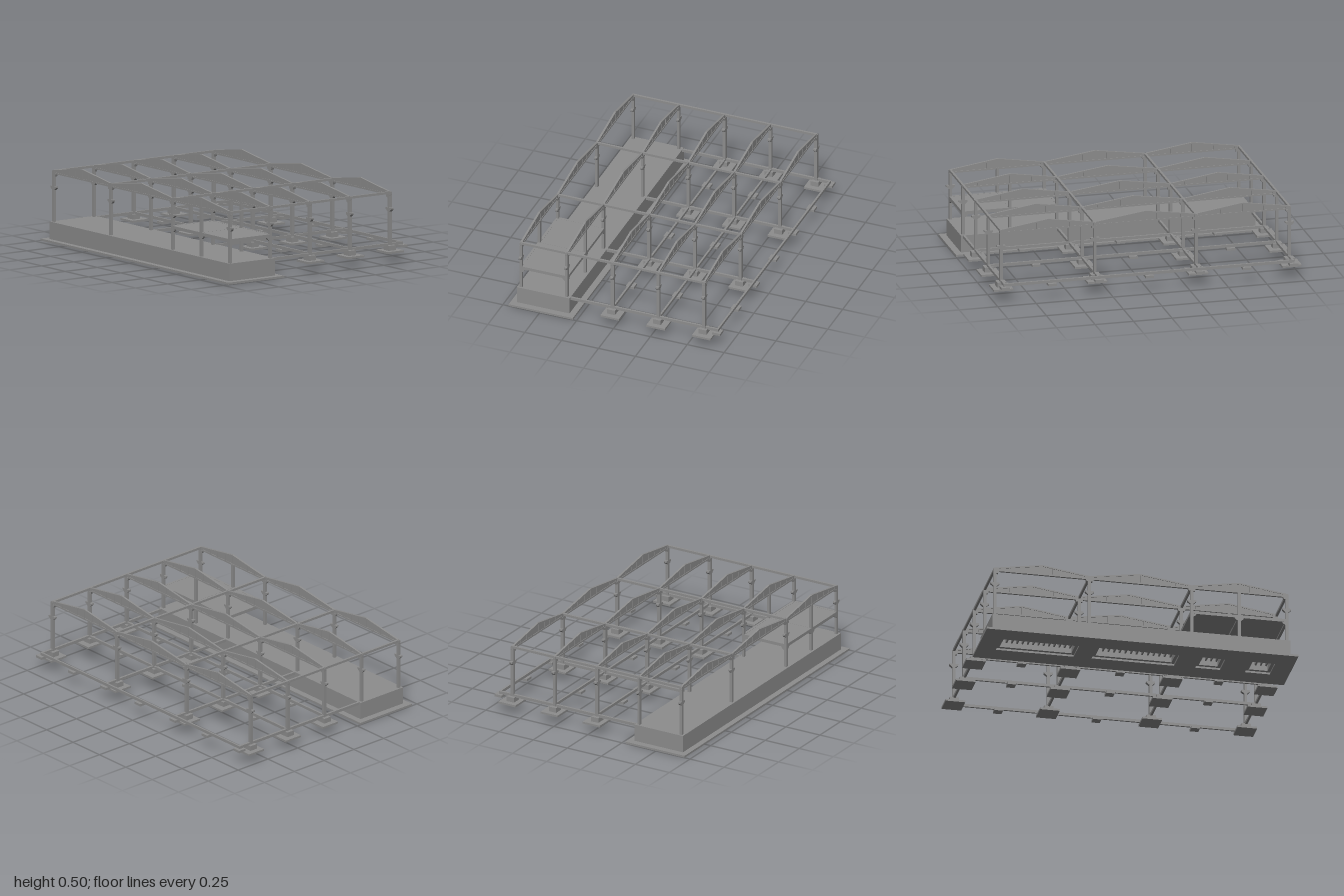
import * as THREE from 'three';

const mat = new THREE.MeshStandardMaterial({ color: 0x8d8d8d, flatShading: true, side: THREE.DoubleSide });
const colX = [-0.937, -0.33, 0.327, 0.937];
const rowZ = [0.65, 0.34, 0.03, -0.28, -0.59];
const midX = [-0.633, 0, 0.632];

function add(parent, name, geo, x = 0, y = 0, z = 0) {
  const m = new THREE.Mesh(geo, mat);
  m.name = name;
  m.position.set(x, y, z);
  parent.add(m);
  return m;
}

// box given by its limits
function box(parent, name, x0, x1, y0, y1, z0, z1) {
  return add(parent, name, new THREE.BoxGeometry(x1 - x0, y1 - y0, z1 - z0),
    (x0 + x1) / 2, (y0 + y1) / 2, (z0 + z1) / 2);
}

// box given by its centre in plan
const block = (parent, name, x, z, w, d, y0, y1) =>
  box(parent, name, x - w / 2, x + w / 2, y0, y1, z - d / 2, z + d / 2);

const polygon = (pts, Type = THREE.Shape) => new Type(pts.map(p => new THREE.Vector2(...p)));
const rect = (x0, x1, y0, y1, Type) => polygon([[x0, y0], [x1, y0], [x1, y1], [x0, y1]], Type);

// upright profile extruded about its own middle plane
function plate(shape, depth) {
  return new THREE.ExtrudeGeometry(shape, { depth, bevelEnabled: false }).translate(0, 0, -depth / 2);
}

// horizontal plate with rectangular pits
function pitted(parent, name, x, z0, z1, y0, y1, pits, shrink) {
  const s = rect(-x, x, -z1, -z0);
  for (const [c, w, d] of pits) {
    const a = w / 2 - shrink, b = d / 2 - shrink;
    s.holes.push(rect(c - a, c + a, -0.493 - b, -0.493 + b, THREE.Path));
  }
  const g = new THREE.ExtrudeGeometry(s, { depth: y1 - y0, bevelEnabled: false }).rotateX(-Math.PI / 2);
  add(parent, name, g, 0, y0, 0);
}

// pitched roof girder: flanges and stiffeners around a thin web
function girder(parent, x0, x1, z) {
  const g = new THREE.Group();
  g.name = 'roofGirder';
  const c = (x0 + x1) / 2, h = (x1 - x0) / 2 - 0.004;
  const outline = [[-h, 0.43], [h, 0.43], [h, 0.454], [0, 0.5], [-h, 0.454]];
  const top = x => 0.5 - 0.046 * Math.abs(x) / h;
  const frame = polygon(outline);
  const n = 4, step = (h - 0.02) / n;
  for (const side of [-1, 1]) {
    for (let i = 0; i < n; i++) {
      const a = side * (i * step + 0.003), b = side * ((i + 1) * step - 0.003);
      frame.holes.push(polygon([[a, 0.44], [b, 0.44], [b, top(b) - 0.009], [a, top(a) - 0.009]], THREE.Path));
    }
  }
  add(g, 'girderFlanges', plate(frame, 0.013));
  add(g, 'girderWeb', plate(polygon(outline.map(([x, y]) => [x * 0.99, y - (y > 0.44 ? 0.002 : -0.002)])), 0.006));
  g.position.set(c, 0, z);
  parent.add(g);
}

// triangular bracket under a beam; angle turns it about the column
function haunch(parent, x, y, z, angle) {
  const s = polygon([[0.008, y], [0.03, y], [0.025, y - 0.011], [0.008, y - 0.023]]);
  add(parent, 'haunch', plate(s, 0.015), x, 0, z).rotation.y = angle;
}

export function createModel() {
  const root = new THREE.Group();
  root.name = 'hallFrame';

  // raft and plinth with ribbed pits underneath: [centre x, width, depth]
  const base = new THREE.Group();
  base.name = 'base';
  root.add(base);
  const pits = [[0.8, 0.16, 0.16], [0.48, 0.16, 0.16], [0, 0.53, 0.16], [-0.63, 0.5, 0.16]];
  pitted(base, 'raft', 1, 0.275, 0.71, 0, 0.013, pits, 0);
  pitted(base, 'plinthBody', 0.957, 0.315, 0.672, 0.013, 0.09, pits, 0.02);
  box(base, 'plinthTop', -0.957, 0.957, 0.09, 0.124, 0.315, 0.672);
  for (const [c, w] of pits) {
    const n = Math.round((w - 0.06) / 0.035);
    for (let i = 0; i <= n; i++) {
      block(base, 'pitRib', c + (i / n - 0.5) * (w - 0.06), 0.493, 0.01, 0.12, 0.045, 0.09);
    }
  }

  // columns, their corbels and capitals, footings and girders row by row
  rowZ.forEach((z, r) => {
    const onPlinth = r < 2;
    const depth = onPlinth ? 0.017 : 0.021;
    colX.forEach((x, i) => {
      block(root, 'column', x, z, 0.019, depth, onPlinth ? 0.12 : 0.1, 0.45);
      const corbel = polygon([[-0.028, 0.351], [-0.028, 0.341], [-0.012, 0.327],
        [0.012, 0.327], [0.028, 0.341], [0.028, 0.351]]);
      add(root, 'corbel', plate(corbel, depth), x, 0, z);
      const l = i === 0 ? -0.01 : -0.026, e = i === 3 ? 0.01 : 0.026;
      const capital = polygon([[l, 0.433], [l * 0.75, 0.415], [e * 0.75, 0.415], [e, 0.433]]);
      add(root, 'capital', plate(capital, depth), x, 0, z);
      if (!onPlinth) {
        block(root, 'footingPad', x, z - 0.005, 0.126, 0.126, 0.067, 0.08);
        block(root, 'footingSocket', x, z, 0.06, 0.053, 0.08, 0.112);
      }
    });
    for (let i = 0; i < 3; i++) girder(root, colX[i], colX[i + 1], z);
  });

  // eaves beams and ground beams along the depth
  for (const x of colX) {
    block(root, 'eavesBeam', x, 0.029, 0.014, 1.256, 0.438, 0.453);
    block(root, 'groundBeam', x, -0.18, 0.014, 0.996, 0.107, 0.125);
  }

  // ground beams across the width with small intermediate pads
  for (const z of [0.027, -0.285, -0.682]) {
    box(root, 'crossGroundBeam', -0.945, 0.945, 0.107, 0.125, z - 0.006, z + 0.006);
    const pads = z < -0.6 ? [...colX, ...midX] : midX;
    for (const x of pads) block(root, 'beamPad', x, z, 0.054, 0.054, 0.091, 0.107);
  }

  // mezzanine bay
  const mezz = new THREE.Group();
  mezz.name = 'mezzanine';
  root.add(mezz);
  const [xa, xm, xb] = [colX[2], midX[2], colX[3]];
  box(mezz, 'mezzanineFloor', xa, xb, 0.268, 0.276, 0.34, 0.65);
  for (const z of [0.34, 0.65]) {
    box(mezz, 'mezzanineBeam', xa, xb, 0.257, 0.277, z - 0.008, z + 0.008);
    block(mezz, 'middlePost', xm, z, 0.018, 0.017, 0.12, 0.436);
    haunch(mezz, xa, 0.258, z, 0);
    haunch(mezz, xm, 0.258, z, 0);
    haunch(mezz, xm, 0.258, z, Math.PI);
    haunch(mezz, xb, 0.258, z, Math.PI);
    for (const x of [xa, xm, xb]) haunch(mezz, x, 0.258, z, z > 0.5 ? Math.PI / 2 : -Math.PI / 2);
  }
  for (const x of [xa, xm, xb]) box(mezz, 'mezzanineSideBeam', x - 0.008, x + 0.008, 0.257, 0.277, 0.34, 0.65);

  return root;
}
